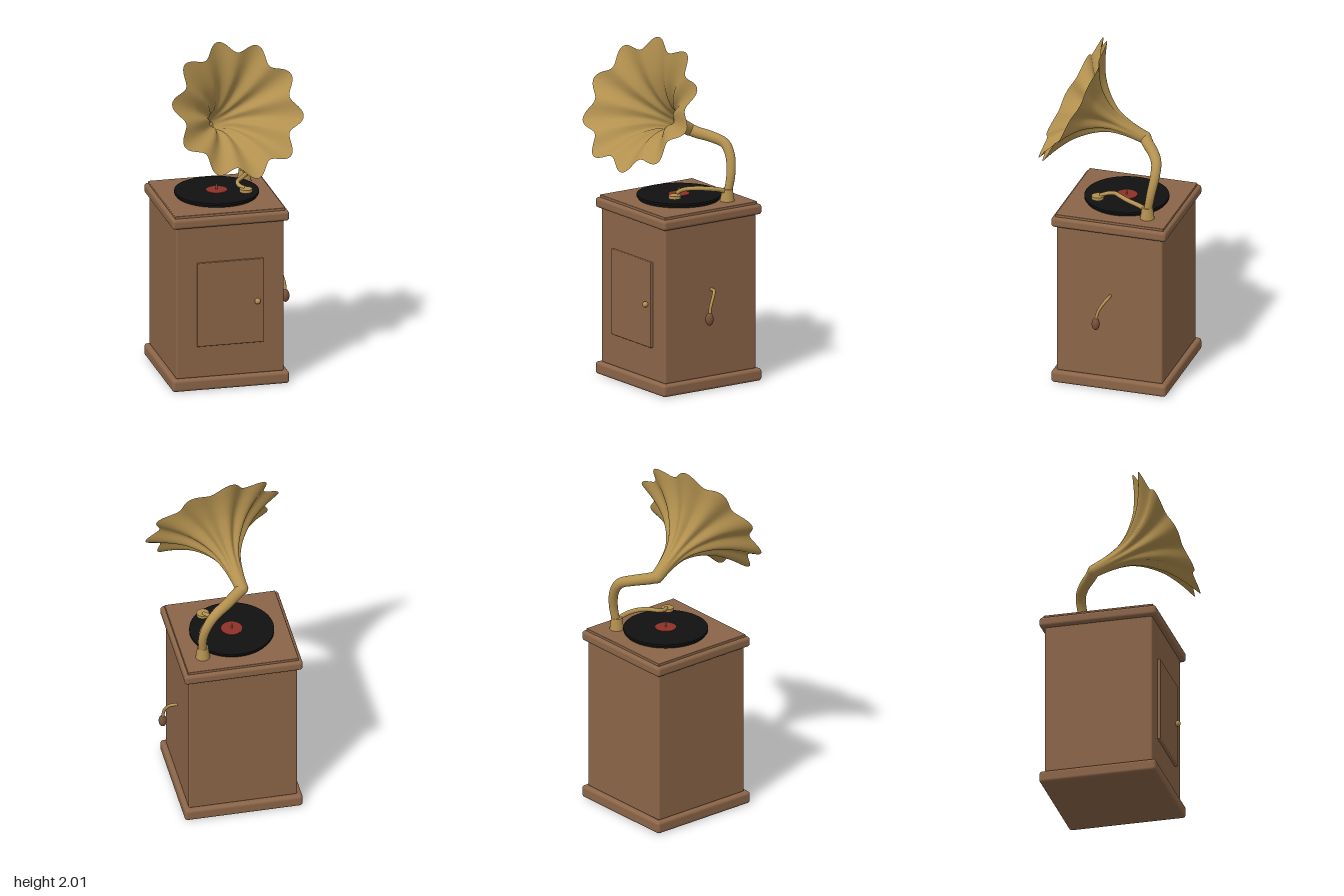
import * as THREE from 'three';
import { RoundedBoxGeometry } from 'three/addons/geometries/RoundedBoxGeometry.js';
import { mergeVertices } from 'three/addons/utils/BufferGeometryUtils.js';

const material = (name, color, side = THREE.FrontSide) => {
  const m = new THREE.MeshStandardMaterial({ color, side });
  m.name = name;
  return m;
};
const V = (x, y, z) => new THREE.Vector3(x, y, z);

// Tube along a smooth path whose radius runs from r0 to r1
function taperedTube(points, r0, r1, segments = 40, sides = 16) {
  const path = new THREE.CatmullRomCurve3(points.map(p => V(...p)));
  const g = new THREE.TubeGeometry(path, segments, 1, sides);
  const pos = g.attributes.position, p = V();
  for (let i = 0; i < pos.count; i++) {
    const t = Math.floor(i / (sides + 1)) / segments;
    const c = path.getPointAt(t);
    p.fromBufferAttribute(pos, i).sub(c).multiplyScalar(r0 + (r1 - r0) * t).add(c);
    pos.setXYZ(i, p.x, p.y, p.z);
  }
  return g;
}

// Flared horn with ten folds that deepen toward the rim
function hornGeometry(neck, axis) {
  const profile = [[0.036, -0.01], [0.042, 0.08], [0.06, 0.18], [0.088, 0.245], [0.13, 0.305],
    [0.195, 0.37], [0.28, 0.425], [0.37, 0.468]];
  const curve = new THREE.SplineCurve(profile.map(([r, t]) => new THREE.Vector2(r, t)));
  let g = new THREE.LatheGeometry(curve.getPoints(36), 160);
  const pos = g.attributes.position, phase = THREE.MathUtils.degToRad(95);
  for (let i = 0; i < pos.count; i++) {
    const x = pos.getX(i), y = pos.getY(i), z = pos.getZ(i);
    const depth = 0.095 * THREE.MathUtils.smoothstep(y, 0.03, 0.3);
    const k = 1 + depth * Math.cos(10 * (Math.atan2(-z, x) - phase));
    pos.setXYZ(i, x * k, y, z * k);
  }
  g.deleteAttribute('uv');
  g.deleteAttribute('normal');
  g = mergeVertices(g, 1e-5);
  g.computeVertexNormals();
  const u = V(axis.z, 0, -axis.x).normalize();
  const v = V().crossVectors(axis, u);
  g.applyMatrix4(new THREE.Matrix4().makeBasis(u, axis, v.negate()).setPosition(neck));
  return g;
}

export function createModel() {
  const model = new THREE.Group();
  model.name = 'hornRecordPlayer';
  const wood = material('wood', 0x8b6548);
  const handleWood = material('handleWood', 0x7a5039);
  const brass = material('brass', 0xb3914f);
  const hornBrass = material('hornBrass', 0xb3914f, THREE.DoubleSide);
  const black = material('recordBlack', 0x111111);
  const red = material('labelRed', 0x8f3028);

  const add = (name, geometry, mat, x = 0, y = 0, z = 0) => {
    const mesh = new THREE.Mesh(geometry, mat);
    mesh.name = name;
    mesh.position.set(x, y, z);
    model.add(mesh);
    return mesh;
  };
  const CX = -0.05, CZ = -0.087;

  // Cabinet: [name, width, bottom, top, depth, edge radius]
  for (const [name, w, y0, y1, d, r] of [
    ['plinth', 0.684, 0, 0.072, 0.684, 0.018],
    ['cabinetBody', 0.63, 0.07, 0.98, 0.63, 0.01],
    ['lid', 0.684, 0.975, 1.035, 0.684, 0.018],
    ['topPanel', 0.642, 1.02, 1.05, 0.642, 0.004],
  ]) add(name, new RoundedBoxGeometry(w, y1 - y0, d, 4, r), wood, CX, (y0 + y1) / 2, CZ);

  // Door and knob
  add('door', new RoundedBoxGeometry(0.39, 0.5, 0.03, 3, 0.005), wood, CX, 0.51, 0.23);
  add('doorKnob', new THREE.SphereGeometry(0.017, 20, 14), brass, 0.105, 0.51, 0.254);

  // Winding crank
  add('crankArm', taperedTube([[0.255, 0.58, -0.092], [0.295, 0.58, -0.088], [0.318, 0.555, -0.068],
    [0.333, 0.505, -0.04], [0.337, 0.45, -0.028]], 0.009, 0.009, 32, 12), brass);
  add('crankHandle', new THREE.SphereGeometry(0.023, 20, 16), handleWood, 0.337, 0.43, -0.028).scale.y = 1.65;

  // Turntable, record, label and spindle
  add('turntable', new THREE.CylinderGeometry(0.232, 0.232, 0.016, 64), black, CX, 1.056, -0.09);
  add('record', new THREE.CylinderGeometry(0.241, 0.241, 0.013, 64), black, CX, 1.069, -0.09);
  add('recordLabel', new THREE.CylinderGeometry(0.06, 0.06, 0.003, 40), red, CX, 1.0765, -0.09);
  add('spindle', new THREE.CylinderGeometry(0.005, 0.005, 0.04, 12), brass, CX, 1.088, -0.09);

  // Horn support: foot and curved neck
  add('neckFoot', new THREE.CylinderGeometry(0.031, 0.041, 0.07, 32), brass, 0.158, 1.084, -0.278);
  add('hornNeck', taperedTube([[0.16, 1.1, -0.282], [0.162, 1.2, -0.3], [0.135, 1.3, -0.315],
    [0.09, 1.365, -0.31], [0.02, 1.395, -0.27], [-0.05, 1.415, -0.215], [-0.088, 1.43, -0.187]],
    0.023, 0.034, 60, 20), brass);
  const neck = V(-0.088, 1.43, -0.187);
  const axis = V(0.185, 0.475, 0.86).normalize();
  add('neckJoint', new THREE.SphereGeometry(0.036, 24, 16), brass, neck.x, neck.y, neck.z);
  add('horn', hornGeometry(neck, axis), hornBrass);

  // Tone arm with sound box and needle
  add('toneArm', taperedTube([[0.16, 1.1, -0.27], [0.157, 1.118, -0.235], [0.14, 1.133, -0.16],
    [0.105, 1.137, -0.1], [0.062, 1.13, -0.05], [0.06, 1.122, -0.01], [0.088, 1.115, 0.03]],
    0.014, 0.011, 50, 14), brass);
  add('soundBox', new THREE.CylinderGeometry(0.036, 0.036, 0.018, 32), brass, 0.09, 1.106, 0.038);
  add('needle', new THREE.CylinderGeometry(0.004, 0.002, 0.026, 10), brass, 0.085, 1.088, 0.045);

  return model;
}
